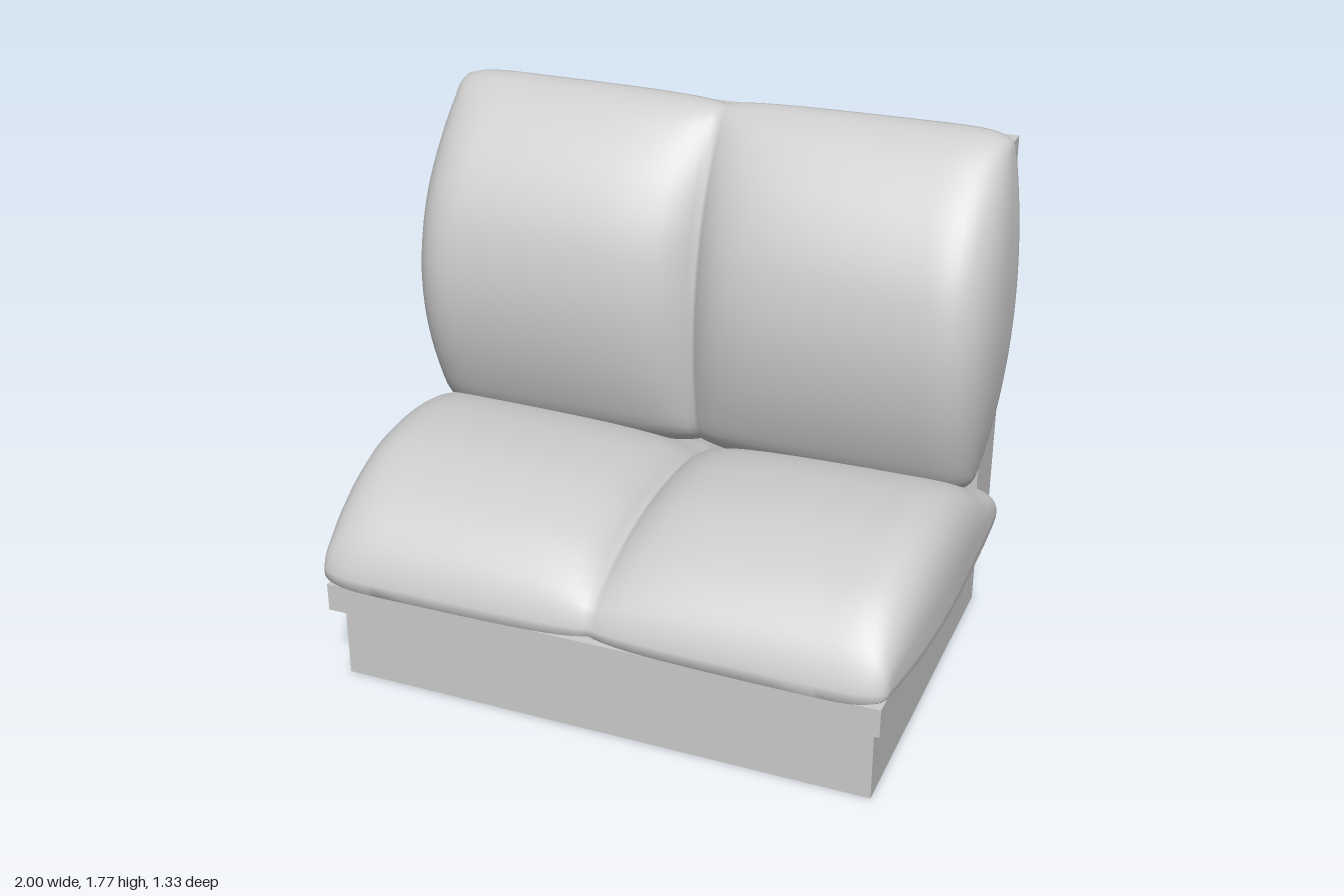
import * as THREE from 'three';

const material = new THREE.MeshStandardMaterial({ color: 0xcccccc, side: THREE.DoubleSide });

// Stations across half a cushion, denser at the centre groove and the rounded end
const half = [0, 0.02, 0.04, 0.07, 0.1, 0.14, 0.2, 0.28, 0.38, 0.5, 0.64, 0.78];
for (let k = 1; k <= 12; k++) half.push(0.78 + 0.22 * Math.sin((k / 12) * Math.PI / 2));
const stations = [...half.slice(1).reverse().map(u => -u), ...half];

// Fullness of the padding: pinched at the centre, rounded off at the end
function fullness(u) {
  const groove = 1 - 0.3 * Math.exp(-u / 0.09) - 0.12 * Math.max(0, 1 - u / 0.8) ** 2;
  const v = Math.max(0, (u - 0.78) / 0.22);
  return groove * Math.cbrt(Math.max(0, 1 - v ** 3));
}

// Padded cushion: a [z, y] outline swept along x, shrinking toward a spine from a to b
function cushion(name, outline, a, b, width) {
  const curve = new THREE.CatmullRomCurve3(
    outline.map(([z, y]) => new THREE.Vector3(0, y, z)), true, 'centripetal');
  const n = 72;
  const ring = curve.getSpacedPoints(n).slice(0, n);
  const spine = new THREE.Line3(new THREE.Vector3(0, a[1], a[0]), new THREE.Vector3(0, b[1], b[0]));
  const cores = ring.map(p => spine.closestPointToPoint(p, true, new THREE.Vector3()));
  const positions = [], index = [];
  stations.forEach((u, i) => {
    const s = fullness(Math.abs(u));
    ring.forEach((p, j) => {
      const q = cores[j].clone().lerp(p, s);
      positions.push(u * width(q), q.y, q.z);
      if (i < stations.length - 1) {
        const k = (j + 1) % n, r = i * n, t = r + n;
        index.push(r + j, t + j, r + k, t + j, t + k, r + k);
      }
    });
  });
  const geometry = new THREE.BufferGeometry();
  geometry.setAttribute('position', new THREE.Float32BufferAttribute(positions, 3));
  geometry.setIndex(index);
  geometry.computeVertexNormals();
  const mesh = new THREE.Mesh(geometry, material);
  mesh.name = name;
  return mesh;
}

export function createModel() {
  const group = new THREE.Group();
  group.name = 'boothBench';

  // Plinth
  const plinth = new THREE.Mesh(new THREE.BoxGeometry(1.79, 0.265, 1.235), material);
  plinth.name = 'plinth';
  plinth.position.set(0, 0.1325, -0.0375);
  group.add(plinth);

  // L-shaped frame: seat board and tapered back board in one profile
  const profile = [[0.63, 0.262], [0.63, 0.358], [-0.445, 0.358], [-0.445, 0.66],
    [-0.565, 1.7], [-0.66, 1.7], [-0.66, 0.262]];
  const shape = new THREE.Shape(profile.map(([z, y]) => new THREE.Vector2(-z, y)));
  const frameGeometry = new THREE.ExtrudeGeometry(shape, { depth: 1.85, bevelEnabled: false });
  frameGeometry.translate(0, 0, -0.925).rotateY(Math.PI / 2);
  const frame = new THREE.Mesh(frameGeometry, material);
  frame.name = 'frame';
  group.add(frame);

  // Seat cushion, narrowing toward the front
  group.add(cushion('seatCushion', [
    [0.635, 0.36], [0.665, 0.375], [0.65, 0.44], [0.6, 0.525], [0.5, 0.615], [0.4, 0.67],
    [0.25, 0.72], [0.1, 0.735], [-0.07, 0.725], [-0.2, 0.69], [-0.31, 0.63], [-0.44, 0.56],
    [-0.48, 0.51], [-0.485, 0.44], [-0.45, 0.395], [-0.36, 0.36], [0.2, 0.355],
  ], [0.6, 0.41], [-0.42, 0.48], p => 1 - 0.16 * Math.max(0, p.z) ** 2));

  // Back cushion, widest at mid height
  group.add(cushion('backCushion', [
    [-0.38, 0.57], [-0.27, 0.6], [-0.18, 0.68], [-0.125, 0.8], [-0.085, 0.95], [-0.07, 1.1],
    [-0.08, 1.23], [-0.12, 1.38], [-0.2, 1.53], [-0.3, 1.65], [-0.4, 1.735], [-0.48, 1.768],
    [-0.535, 1.75], [-0.555, 1.69], [-0.55, 1.58], [-0.505, 1.16], [-0.45, 0.66],
  ], [-0.5, 1.71], [-0.35, 0.66], p => 1 - 0.2 * (p.y - 1.2) ** 2));

  return group;
}
